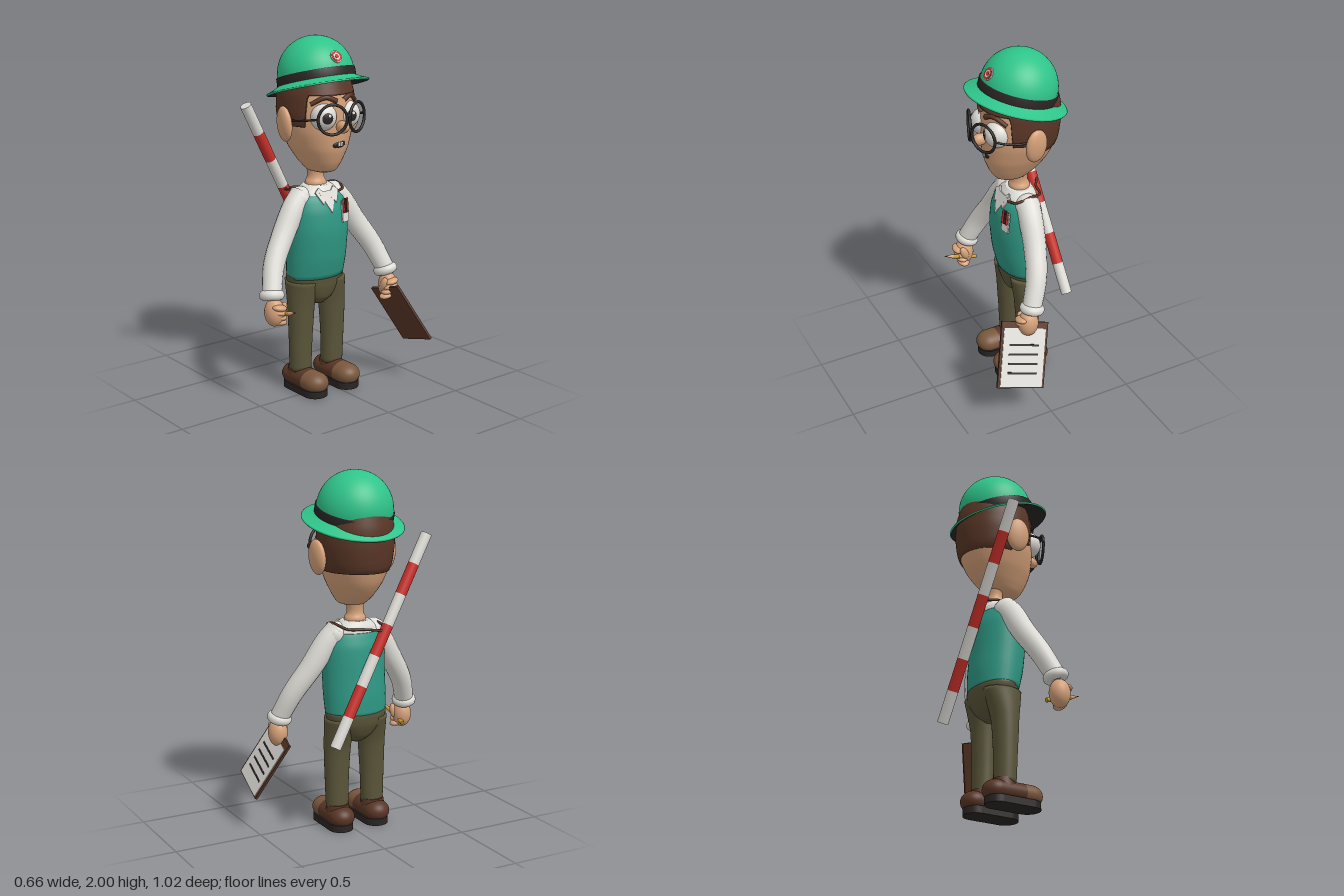
import * as THREE from 'three';

const mat = (name, color) => Object.assign(new THREE.MeshStandardMaterial({ color }), { name });
const M = {
  green: mat('hat green', 0x2fc48a), teal: mat('vest teal', 0x2f9884), olive: mat('trouser olive', 0x5a5539),
  brown: mat('dark brown', 0x593626), tan: mat('toe cap brown', 0x7a583d), skin: mat('skin', 0xd6a27a),
  white: mat('white', 0xdedcd6), black: mat('black', 0x2b2525), red: mat('red', 0xc8302a), yellow: mat('pencil yellow', 0xc99a2c),
};
const V = (x, y, z) => new THREE.Vector3(x, y, z);

function add(parent, name, geo, material, pos = [0, 0, 0], rot = [0, 0, 0], scale = [1, 1, 1]) {
  const m = new THREE.Mesh(geo, material);
  m.name = name;
  m.position.set(...pos); m.rotation.set(...rot); m.scale.set(...scale);
  parent.add(m);
  return m;
}
const ball = (p, name, material, pos, scale, rot) =>
  add(p, name, new THREE.SphereGeometry(1, 28, 20), material, pos, rot, scale);

// Smooth closed body through elliptical rings [y, centre z, half width, half depth, centre x]
function loft(rows, steps = 24, n = 40) {
  const a = new THREE.CatmullRomCurve3(rows.map(r => V(r[0], r[1], r[4] || 0)));
  const b = new THREE.CatmullRomCurve3(rows.map(r => V(r[2], r[3], 0)));
  const pos = [], idx = [];
  for (let i = 0; i <= steps; i++) {
    const c = a.getPoint(i / steps), r = b.getPoint(i / steps);
    for (let j = 0; j < n; j++) {
      const t = j / n * Math.PI * 2;
      pos.push(c.z + r.x * Math.sin(t), c.x, c.y + r.y * Math.cos(t));
      const k = (j + 1) % n, q = i * n;
      if (i < steps) idx.push(q + j, q + k, q + n + k, q + j, q + n + k, q + n + j);
    }
  }
  const lo = pos.length / 3, first = rows[0], last = rows[rows.length - 1];
  for (const r of [first, last]) pos.push(r[4] || 0, r[0], r[1]);
  for (let j = 0; j < n; j++) {
    const k = (j + 1) % n, q = steps * n;
    idx.push(lo, k, j, lo + 1, q + j, q + k);
  }
  const g = new THREE.BufferGeometry();
  g.setAttribute('position', new THREE.Float32BufferAttribute(pos, 3));
  g.setIndex(idx);
  g.computeVertexNormals();
  return g;
}

// Tube along points, its radius running from r0 to r1
function tube(points, r0, r1 = r0, seg = 28) {
  const curve = new THREE.CatmullRomCurve3(points.map(p => V(...p)));
  const g = new THREE.TubeGeometry(curve, seg, 1, 16, false), p = g.attributes.position, v = V(0, 0, 0);
  for (let i = 0; i < p.count; i++) {
    const u = Math.floor(i / 17) / seg, c = curve.getPointAt(u);
    v.fromBufferAttribute(p, i).sub(c).multiplyScalar(r0 + (r1 - r0) * u).add(c);
    p.setXYZ(i, v.x, v.y, v.z);
  }
  return g;
}
const lathe = (pts) => new THREE.LatheGeometry(pts.map(p => new THREE.Vector2(...p)), 48);
function plate(pts, depth) {
  return new THREE.ExtrudeGeometry(new THREE.Shape(pts.map(p => new THREE.Vector2(...p))), { depth, bevelEnabled: false });
}
// Rod between two points
function rod(p, name, a, b, r0, r1, material) {
  const d = b.clone().sub(a), c = a.clone().add(b).multiplyScalar(0.5);
  const m = add(p, name, new THREE.CylinderGeometry(r1, r0, d.length(), 24), material, c.toArray());
  m.quaternion.setFromUnitVectors(V(0, 1, 0), d.normalize());
}

const HEAD = [[1.255, -0.03, 0.02, 0.03], [1.272, -0.035, 0.07, 0.095], [1.32, -0.05, 0.105, 0.145], [1.4, -0.065, 0.15, 0.19],
  [1.5, -0.077, 0.187, 0.212], [1.6, -0.082, 0.2, 0.217], [1.7, -0.085, 0.196, 0.21], [1.8, -0.09, 0.17, 0.18], [1.87, -0.1, 0.1, 0.1]];
function headAt(y) {
  let i = 0;
  while (i < HEAD.length - 2 && HEAD[i + 1][0] < y) i++;
  const a = HEAD[i], b = HEAD[i + 1], t = (y - a[0]) / (b[0] - a[0]);
  return a.map((v, k) => v + (b[k] - v) * t);
}

function buildHead(g) {
  add(g, 'head', loft(HEAD, 40), M.skin);
  add(g, 'neck', loft([[1.13, -0.08, 0.075, 0.068], [1.2, -0.083, 0.06, 0.056], [1.32, -0.085, 0.06, 0.056]]), M.skin);
  // Hair shell whose lower edge forms fringe, sideburns and nape
  const hair = new THREE.CylinderGeometry(1, 1, 1, 120, 12, true), p = hair.attributes.position;
  for (let i = 0; i < p.count; i++) {
    const x = p.getX(i), z = p.getZ(i), t = p.getY(i) + 0.5, a = Math.abs(Math.atan2(x, z));
    const low = 1.7 - 0.17 * THREE.MathUtils.smoothstep(a, 0.86, 1.0) - 0.068 * THREE.MathUtils.smoothstep(a, 1.4, 1.6);
    const y = low + (1.78 - low) * Math.max(0, (t - 1 / 12) * 12 / 11), r = headAt(y), s = t < 0.01 ? 0.95 : 1.05;
    p.setXYZ(i, x * r[2] * s, y, r[1] + z * r[3] * s);
  }
  hair.computeVertexNormals();
  add(g, 'hair', hair, M.brown);
  ball(g, 'nose', M.skin, [0, 1.53, 0.155], [0.03, 0.034, 0.046]);
  ball(g, 'mouth', M.black, [0.002, 1.432, 0.122], [0.042, 0.02, 0.012], [0, 0, 0.1]);
  for (const s of [-1, 1]) {
    add(g, 'tooth', new THREE.BoxGeometry(0.013, 0.02, 0.006), M.white, [s * 0.008 + 0.002, 1.434, 0.133]);
    ball(g, 'ear', M.skin, [s * 0.222, 1.54, -0.065], [0.032, 0.097, 0.066], [0, s * 0.15, -s * 0.08]);
    // Eyes glance to one side
    const eye = new THREE.Group();
    eye.name = 'eye';
    eye.position.set(s * 0.08, 1.585, 0.09);
    ball(eye, 'eyeball', M.white, [0, 0, 0], [0.072, 0.075, 0.072]);
    const cap = (r, w) => new THREE.SphereGeometry(r, 24, 6, 0, Math.PI * 2, 0, w);
    add(eye, 'pupil', cap(0.0755, 0.42), M.black, [0, 0, 0], [Math.PI / 2, 0, 0.3]);
    add(eye, 'glint', cap(0.077, 0.1), M.white, [0, 0, 0], [Math.PI / 2 - 0.2, 0, 0.15]);
    g.add(eye);
    add(g, 'eyebrow', tube([[s * 0.022, 1.668, 0.132], [s * 0.08, 1.69, 0.115], [s * 0.15, 1.655, 0.07]], 0.014, 0.011), M.brown);
    add(g, 'lensRim', new THREE.TorusGeometry(0.08, 0.008, 10, 40), M.black, [s * 0.083, 1.58, 0.175], [0, s * 0.38, 0]);
    add(g, 'glassesArm', tube([[s * 0.157, 1.585, 0.148], [s * 0.2, 1.575, 0.08], [s * 0.215, 1.56, -0.04]], 0.006), M.black);
  }
  add(g, 'glassesBridge', tube([[-0.014, 1.59, 0.203], [0, 1.6, 0.21], [0.014, 1.59, 0.203]], 0.007), M.black);
}

function buildHat(g) {
  const hat = new THREE.Group();
  hat.name = 'hat';
  hat.position.set(0, 1.72, -0.06);
  hat.rotation.x = -0.27;
  add(hat, 'crown', new THREE.SphereGeometry(0.21, 48, 20, 0, Math.PI * 2, 0, Math.PI / 2), M.green, [0, 0.07, 0]);
  add(hat, 'hatBand', lathe([[0.212, 0.025], [0.216, 0.03], [0.216, 0.076], [0.208, 0.08]]), M.black);
  add(hat, 'brim', lathe([[0.278, -0.008], [0.283, -0.001], [0.278, 0.004], [0.245, 0.016], [0.21, 0.036]]), M.green);
  add(hat, 'brimUnderside', lathe([[0.17, 0.03], [0.21, 0.022], [0.245, 0.006], [0.278, -0.008]]), M.black);
  const badge = new THREE.Group();
  badge.name = 'badge';
  badge.position.y = 0.07;
  badge.rotation.x = -0.29;
  [[0.035, M.white], [0.03, M.red], [0.02, M.white], [0.012, M.red]].forEach(([r, m], i) =>
    add(badge, 'badgeDisc', new THREE.CylinderGeometry(r, r, 0.008, 28), m, [0, 0, 0.209 + i * 0.0015], [Math.PI / 2, 0, 0]));
  hat.add(badge);
  g.add(hat);
}

function buildBody(g) {
  add(g, 'vest', loft([[0.66, -0.092, 0.178, 0.123], [0.78, -0.078, 0.183, 0.138], [0.92, -0.066, 0.184, 0.14],
    [1.04, -0.066, 0.18, 0.131], [1.11, -0.068, 0.16, 0.108], [1.15, -0.072, 0.125, 0.085]]), M.teal);
  add(g, 'shirtYoke', loft([[1.12, -0.072, 0.152, 0.1], [1.15, -0.075, 0.128, 0.092], [1.185, -0.08, 0.078, 0.07]]), M.white);
  add(g, 'shirtFront', plate([[0, 0], [0.058, 0.125], [-0.058, 0.125]], 0.008), M.white, [0, 1.04, 0.064], [-0.42, 0, 0]);
  add(g, 'pocketProtector', new THREE.BoxGeometry(0.054, 0.12, 0.009), M.white, [0.1, 1.035, 0.053], [-0.1, 0.25, 0]);
  [M.red, M.black, M.red].forEach((m, i) =>
    add(g, 'pen', new THREE.CylinderGeometry(0.006, 0.006, 0.08, 10), m, [0.084 + i * 0.016, 1.068, 0.062 - i * 0.004], [-0.1, 0, 0]));
  add(g, 'trouserSeat', loft([[0.5, -0.085, 0.04, 0.05], [0.54, -0.088, 0.1, 0.09], [0.61, -0.094, 0.165, 0.116],
    [0.665, -0.094, 0.18, 0.122], [0.685, -0.092, 0.176, 0.118]]), M.olive);
  for (const s of [-1, 1]) {
    add(g, 'collarFlap', plate(s > 0 ? [[0.004, 0.1], [0.045, 0.055], [0.08, 0.125], [0.05, 0.15]]
      : [[-0.004, 0.1], [-0.05, 0.15], [-0.08, 0.125], [-0.045, 0.055]], 0.008), M.white, [0, 1.04, 0.068], [-0.46, 0, 0]);
    add(g, 'trouserLeg', loft([[0.12, -0.083, 0.064, 0.058, s * 0.112], [0.3, -0.08, 0.069, 0.063, s * 0.112],
      [0.48, -0.08, 0.076, 0.075, s * 0.108], [0.64, -0.092, 0.08, 0.11, s * 0.098]]), M.olive);
    // Shoe: heel part and toe cap share one rounded profile
    const arc = (c, from) => Array.from({ length: 10 }, (_, i) => {
      const t = from + i / 9 * Math.PI / 2;
      return [Math.max(0, 0.073 * Math.cos(t)), c + 0.073 * Math.sin(t)];
    });
    const place = [[s * 0.112, 0.077, 0], [Math.PI / 2, 0, 0], [1, 1, 0.82]];
    add(g, 'shoe', lathe([...arc(-0.137, -Math.PI / 2), [0.073, 0.01]]), M.brown, ...place);
    add(g, 'toeCap', lathe([[0.073, 0.01], ...arc(0.06, 0)]), M.tan, ...place);
    add(g, 'shoeCollar', new THREE.CylinderGeometry(0.062, 0.07, 0.05, 28), M.brown, [s * 0.112, 0.118, -0.09]);
    const sole = new THREE.Shape();
    sole.absarc(0, 0.053, 0.07, 0, Math.PI).absarc(0, -0.125, 0.07, Math.PI, Math.PI * 2);
    add(g, 'sole', new THREE.ExtrudeGeometry(sole, { depth: 0.04, bevelEnabled: false, curveSegments: 20 }), M.black,
      [s * 0.112, 0.042, 0], [Math.PI / 2, 0, 0]);
    // Arm, cuff and fist
    add(g, 'sleeve', tube([[s * 0.1, 1.13, -0.075], [s * 0.165, 1.065, -0.065], [s * 0.255, 0.93, -0.045],
      [s * 0.345, 0.79, -0.005], [s * 0.4, 0.65, 0.05]], 0.07, 0.054), M.white);
    ball(g, 'shoulder', M.white, [s * 0.115, 1.108, -0.073], [0.073, 0.073, 0.073]);
    add(g, 'cuff', new THREE.TorusGeometry(0.04, 0.029, 14, 32), M.white, [s * 0.4, 0.645, 0.05], [Math.PI / 2 - 0.25, s * 0.15, 0]);
    ball(g, 'hand', M.skin, [s * 0.4, 0.555, 0.073], [0.054, 0.078, 0.058]);
    for (let i = 0; i < 4; i++)
      ball(g, 'finger', M.skin, [s * (0.395 - i * 0.006), 0.587 - i * 0.029, 0.112 - i * 0.008], [0.043, 0.019, 0.034], [0, 0, s * 0.2]);
    ball(g, 'thumb', M.skin, [s * 0.355, 0.57, 0.09], [0.02, 0.043, 0.024], [0.4, 0, 0]);
  }
}

function buildProps(g) {
  // Banded pole on the back with its cord
  const top = V(-0.385, 1.64, -0.19), low = V(0.225, 0.53, -0.272);
  for (let i = 0; i < 7; i++)
    rod(g, 'poleBand', low.clone().lerp(top, i / 7), low.clone().lerp(top, (i + 1) / 7), 0.031, 0.031, i % 2 ? M.red : M.white);
  add(g, 'poleCord', tube([[-0.12, 1.17, -0.08], [-0.13, 1.15, -0.17], [-0.1, 1.14, -0.24], [0, 1.145, -0.19], [0.09, 1.15, -0.165],
    [0.135, 1.175, -0.09], [0.125, 1.155, 0.0], [0.07, 1.145, 0.025]], 0.007, 0.007, 50), M.brown);
  // Pencil
  rod(g, 'pencil', V(-0.37, 0.515, 0.01), V(-0.365, 0.565, 0.165), 0.012, 0.012, M.yellow);
  rod(g, 'pencilWood', V(-0.365, 0.565, 0.165), V(-0.364, 0.577, 0.202), 0.012, 0.004, M.skin);
  rod(g, 'pencilLead', V(-0.364, 0.577, 0.202), V(-0.3635, 0.582, 0.217), 0.004, 0.0005, M.black);
  // Clipboard with a ruled sheet
  const board = new THREE.Group();
  board.name = 'clipboard';
  const u = V(0.035, -0.08, -0.27).normalize(), v = V(-0.155, 0.313, -0.12).normalize();
  const n = u.clone().cross(v).normalize();
  board.quaternion.setFromRotationMatrix(new THREE.Matrix4().makeBasis(u, n.clone().cross(u), n));
  board.position.set(0.451, 0.39, 0.135);
  add(board, 'board', new THREE.BoxGeometry(0.284, 0.369, 0.014), M.brown);
  add(board, 'paper', new THREE.BoxGeometry(0.256, 0.325, 0.004), M.white, [0, -0.015, 0.009]);
  for (let i = 0; i < 4; i++)
    add(board, 'writtenLine', new THREE.BoxGeometry(0.18, 0.011, 0.003), M.black, [0, 0.055 - i * 0.052, 0.0115]);
  g.add(board);
}

export function createModel() {
  const figure = new THREE.Group();
  figure.name = 'figure';
  buildHead(figure);
  buildHat(figure);
  buildBody(figure);
  buildProps(figure);
  // The figure looks along +x
  figure.rotation.y = Math.PI / 2;
  figure.position.z = 0.048;
  const model = new THREE.Group();
  model.name = 'surveyor';
  model.add(figure);
  return model;
}
